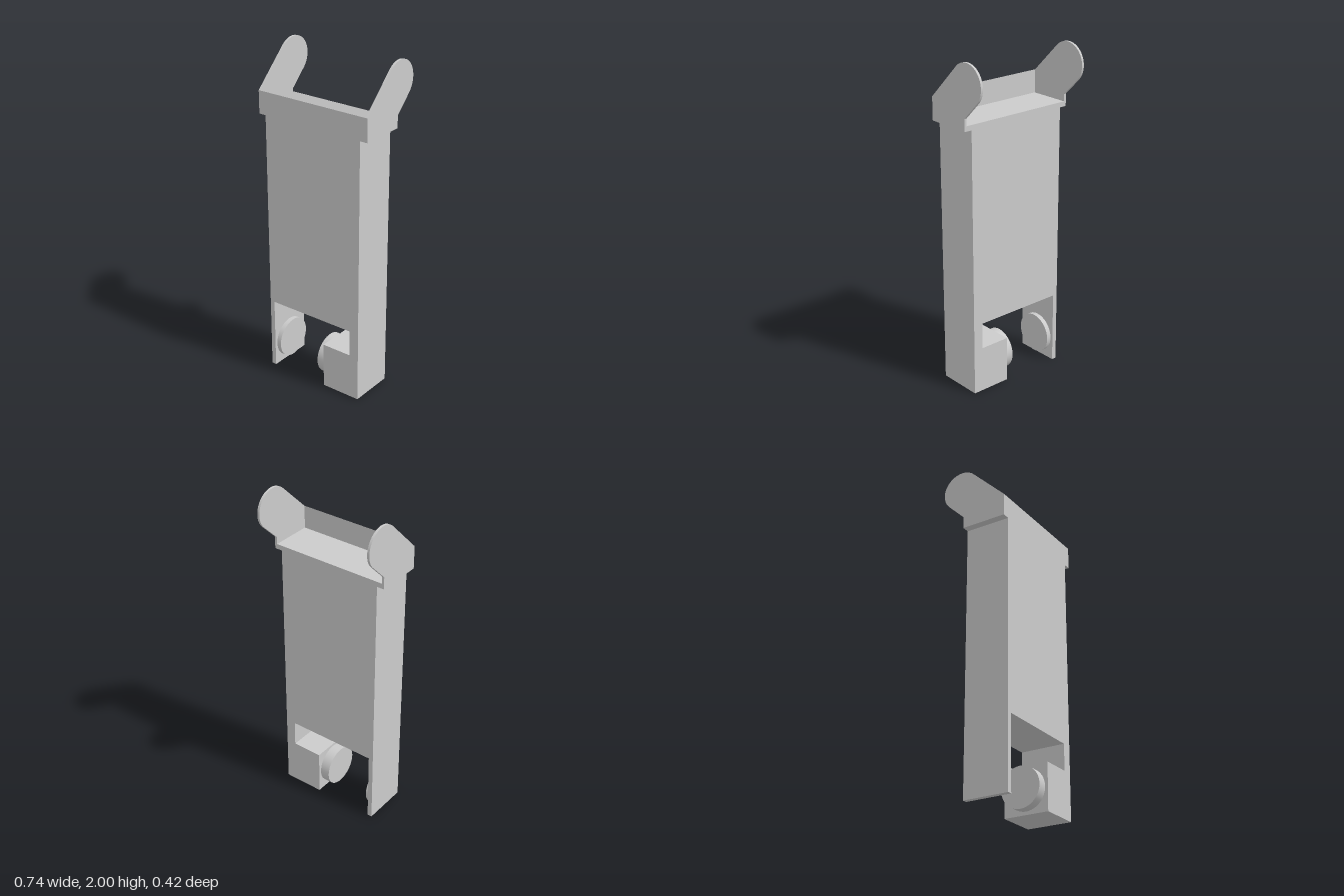
import * as THREE from 'three';
import { toCreasedNormals } from 'three/addons/utils/BufferGeometryUtils.js';

const BACK = -0.07, FRONT = 0.208, MID = (BACK + FRONT) / 2;
const EAR = 0.014, HALF = 0.371;

export function createModel() {
  const model = new THREE.Group();
  const material = new THREE.MeshStandardMaterial({ color: 0xcccccc });

  const add = (name, geometry) => {
    const mesh = new THREE.Mesh(geometry, material);
    mesh.name = name;
    model.add(mesh);
    return mesh;
  };
  const outline = (points) => new THREE.Shape(points.map(([a, b]) => new THREE.Vector2(a, b)));
  const extrude = (shape, depth) =>
    new THREE.ExtrudeGeometry(shape, { depth, bevelEnabled: false, curveSegments: 32 });
  // Side profile drawn in (z, y), extruded across x from x0 to x1
  const acrossX = (shape, x0, x1) =>
    toCreasedNormals(extrude(shape, x1 - x0).rotateY(-Math.PI / 2).translate(x1, 0, 0), 0.5);

  // Tall body with the stepped notch at the bottom
  add('body', extrude(outline([
    [-0.326, 0], [-0.297, 0], [-0.297, 0.44], [0.263, 0.44], [0.263, 0.28],
    [0.075, 0.28], [0.075, 0], [0.324, 0], [0.324, 1.62], [-0.326, 1.62],
  ]), FRONT - BACK).translate(0, 0, BACK));

  // Tray on top: floor and low front wall with a sloped rim
  add('tray', acrossX(outline([
    [BACK, 1.62], [FRONT, 1.62], [FRONT, 1.757], [0.177, 1.788], [0.177, 1.65], [BACK, 1.65],
  ]), -HALF + EAR, HALF - EAR));

  // Round-ended ears leaning back on both sides
  const ear = outline([[BACK, 1.62], [FRONT, 1.62], [FRONT, 1.757]]);
  ear.absarc(-0.088, 1.88, 0.12, Math.PI / 4, Math.PI * 1.25, false);
  ear.lineTo(BACK, 1.693);
  add('leftEar', acrossX(ear, HALF - EAR, HALF));
  add('rightEar', acrossX(ear, -HALF, -HALF + EAR));

  // Facing discs inside the notch
  const disc = (name, x0, x1) =>
    add(name, new THREE.CylinderGeometry(0.122, 0.122, x1 - x0, 48)
      .rotateZ(Math.PI / 2).translate((x0 + x1) / 2, 0.142, MID));
  disc('rightDisc', -0.297, -0.269);
  disc('leftDisc', 0.015, 0.075);

  return model;
}
